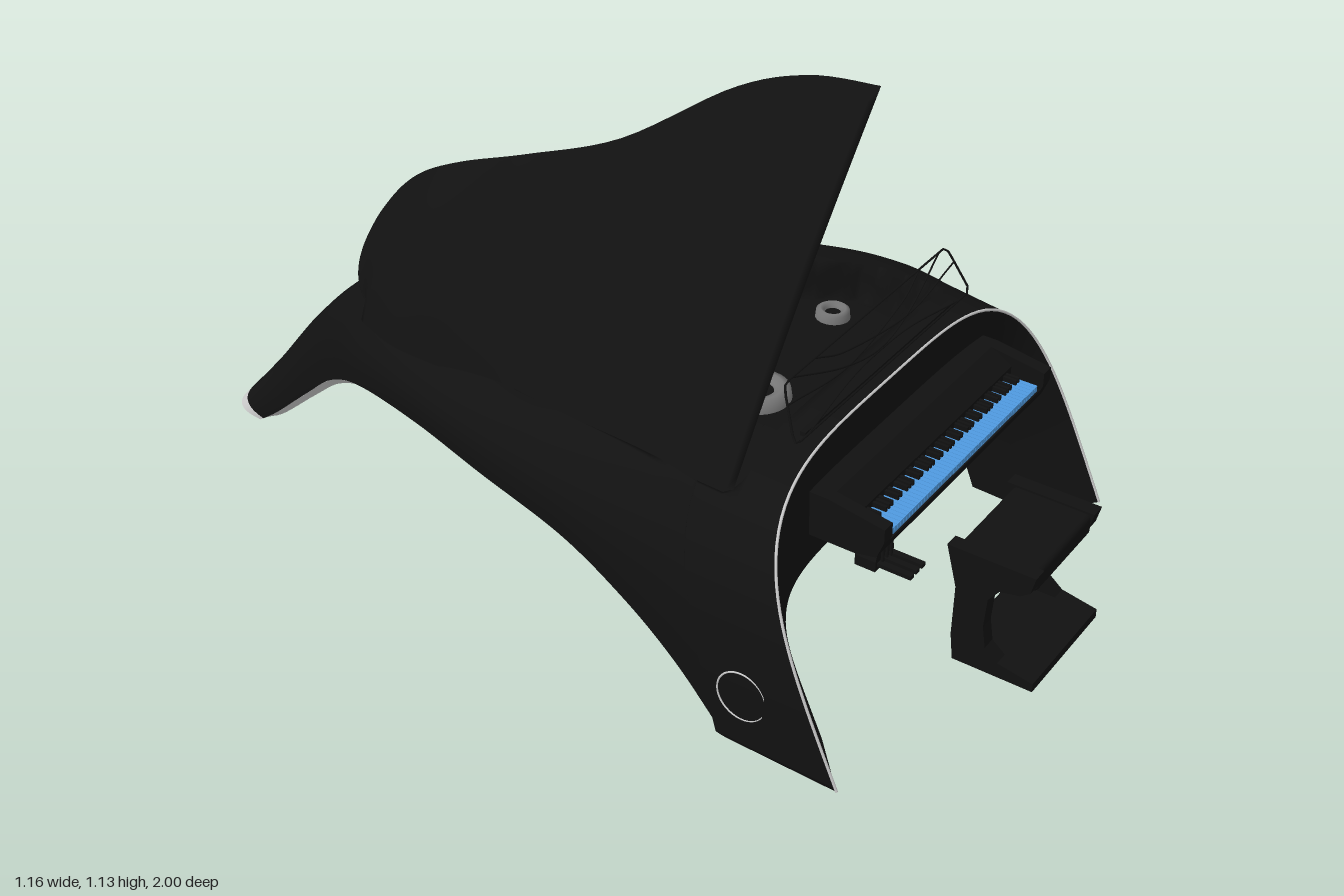
import * as THREE from 'three';
import { ParametricGeometry } from 'three/addons/geometries/ParametricGeometry.js';
import { RoundedBoxGeometry } from 'three/addons/geometries/RoundedBoxGeometry.js';

const mat = (color) => new THREE.MeshStandardMaterial({ color, side: THREE.DoubleSide });
const black = mat(0x111111), grey = mat(0xcccccc), steel = mat(0x777777), blue = mat(0x4f9ae0);

// Body stations from front to tail: zTop, zEdge, yEdge, yTop, xLow, xHigh, squareness
const OUTER = [
  [0.59, 0.83, 0, 0.54, -0.578, 0.535, 4],
  [0.42, 0.575, 0, 0.54, -0.572, 0.572, 4],
  [0.4, 0.55, 0.025, 0.54, -0.57, 0.574, 4],
  [0.32, 0.45, 0.125, 0.54, -0.565, 0.574, 3.8],
  [0.2, 0.33, 0.215, 0.54, -0.56, 0.55, 3.5],
  [0.05, 0.17, 0.295, 0.535, -0.55, 0.48, 3.2],
  [-0.12, -0.05, 0.345, 0.53, -0.53, 0.345, 3],
  [-0.3, -0.25, 0.36, 0.515, -0.485, 0.215, 2.8],
  [-0.48, -0.47, 0.325, 0.49, -0.41, 0.08, 2.6],
  [-0.62, -0.62, 0.245, 0.44, -0.34, -0.03, 2.5],
  [-0.75, -0.73, 0.15, 0.315, -0.305, -0.085, 2.4],
  [-0.88, -0.84, 0.05, 0.15, -0.298, -0.1, 2.4],
  [-1.0, -0.9, 0.004, 0.01, -0.295, -0.1, 2.8],
];
const LAST = OUTER.length - 1;
// Lining: crown height, wall thickness, how far the rim dips inwards
const LINING = [
  [0.43, 0.05, 0], [0.43, 0.05, 0], [0.43, 0.05, 0], [0.43, 0.05, 0.01], [0.43, 0.05, 0.02], [0.425, 0.05, 0.03],
  [0.42, 0.045, 0.035], [0.41, 0.04, 0.035], [0.375, 0.035, 0.03], [0.31, 0.03, 0.025], [0.2, 0.025, 0.02],
  [0.09, 0.02, 0.015], [0.008, 0.015, 0]];
const INNER = OUTER.map(([zt, ze, ye, , xl, xr, n], i) => {
  const [top, wall, dip] = LINING[i];
  return [i === LAST ? -0.97 : zt, ze, ye - dip, top, xl + wall, xr - wall, n];
});
// Front frame opening, front and back loops
const FRAME = [[0.6, 0.73, 0, 0.285, -0.468, 0.417, 6], [0.46, 0.575, 0, 0.285, -0.468, 0.425, 6]];

const columns = (rows) => rows[0].map((_, c) =>
  new THREE.SplineCurve(rows.map((r, i) => new THREE.Vector2(i, r[c]))));
const outerCols = columns(OUTER), innerCols = columns(INNER), frameCols = columns(FRAME);

// Point on a squared arch: u runs front to tail, v from -x edge to +x edge
function arch(cols, u, v, p) {
  const [zt, ze, ye, yt, xl, xr, n] = cols.map((c) => c.getPoint(u).y);
  const a = Math.PI * (1 - v), c = Math.cos(a), s = Math.max(0, Math.sin(a));
  const r = Math.pow(Math.pow(Math.abs(c), n) + Math.pow(s, n), -1 / n);
  return p.set((xl + xr) / 2 + (xr - xl) / 2 * c * r, Math.max(0, ye + (yt - ye) * s * r), ze + (zt - ze) * s * r);
}

// Piecewise lookup of x by z in [z, x] pairs, falling z
function lookup(table, z) {
  let i = 0;
  while (i < table.length - 2 && z < table[i + 1][0]) i++;
  const [a, b] = [table[i], table[i + 1]];
  return THREE.MathUtils.lerp(a[1], b[1], THREE.MathUtils.clamp((a[0] - z) / (a[0] - b[0]), 0, 1));
}
const OPEN_L = [[0.5, -0.455], [0, -0.43], [-0.3, -0.4], [-0.47, -0.35], [-0.545, -0.24]];
const OPEN_R = [[0.5, 0.39], [0.3, 0.355], [0.2, 0.27], [0.06, 0.15], [-0.1, 0.06], [-0.25, 0], [-0.5, -0.05], [-0.545, -0.12]];

// Outer skin with the sunken soundboard well
function skin(u, v, p) {
  arch(outerCols, u, v, p);
  const d = Math.min(p.x - lookup(OPEN_L, p.z), lookup(OPEN_R, p.z) - p.x, 0.5 - p.z, p.z + 0.545);
  if (p.y > 0.38) p.y -= 0.09 * THREE.MathUtils.smoothstep(d, 0, 0.02);
  return p;
}

export function createModel() {
  const root = new THREE.Group();
  const add = (name, geo, material = black, parent = root) => {
    const m = new THREE.Mesh(geo, material);
    m.name = name;
    parent.add(m);
    return m;
  };
  const group = (name) => {
    const g = new THREE.Group();
    g.name = name;
    root.add(g);
    return g;
  };
  const surface = (name, f, nu, nv, material) => add(name, new ParametricGeometry(f, nu, nv), material);
  const box = (name, w, h, d, x, y, z, material, parent) =>
    add(name, new THREE.BoxGeometry(w, h, d).translate(x, y, z), material, parent);
  // Side profile of [z, y] points extruded across x
  const slab = (name, pts, x, w, parent) => {
    const shape = new THREE.Shape(pts.map(([z, y]) => new THREE.Vector2(z, y)));
    const geo = new THREE.ExtrudeGeometry(shape, { depth: w, bevelEnabled: false });
    return add(name, geo.rotateY(-Math.PI / 2).translate(x + w / 2, 0, 0), black, parent);
  };
  const wire = (name, pts, r, material, parent, closed = false, tension = 0.5) => add(name, new THREE.TubeGeometry(
    new THREE.CatmullRomCurve3(pts, closed, 'catmullrom', tension), 80, r, 6, closed), material, parent);

  // Body shell, front frame, lining and the faces that join them
  const FOOT = 0.978, KNEE = 1 / LAST, q = new THREE.Vector3();
  const join = (a, ua, b, ub, v, w, p) => p.copy(arch(a, ua, v, p)).lerp(arch(b, ub, v, q), w);
  surface('bodyShell', (u, v, p) => skin(u * FOOT, v, p), 130, 200, black);
  surface('tailFoot', (u, v, p) => skin(FOOT + u * (1 - FOOT), v, p), 6, 60, grey);
  surface('underside', (u, v, p) => arch(innerCols, KNEE + u * (1 - KNEE), v, p), 60, 60, grey);
  surface('frontFace', (w, v, p) => join(outerCols, 0, frameCols, 0, v, w, p), 4, 100, black);
  surface('frameOpening', (u, v, p) => arch(frameCols, u, v, p), 4, 100, black);
  surface('frameBack', (w, v, p) => join(frameCols, 1, innerCols, KNEE, v, w, p), 2, 100, black);
  surface('tailCap', (w, v, p) => join(outerCols, 1, innerCols, 1, v, w, p), 2, 40, grey);
  for (const v of [0, 1]) {
    surface('legSole', (u, w, p) => join(outerCols, u * KNEE, frameCols, u, v, w, p), 8, 2, black);
    surface('lowerRim', (u, w, p) => {
      const t = KNEE + u * (1 - KNEE);
      return join(outerCols, t, innerCols, t, v, w, p);
    }, 60, 2, grey);
  }
  const edge = Array.from({ length: 61 }, (_, i) => arch(outerCols, 0, i / 60, new THREE.Vector3()));
  wire('frontTrim', edge, 0.003, grey, root);
  add('sideDisc', new THREE.TorusGeometry(0.055, 0.002, 6, 40).rotateY(Math.PI / 2).translate(-0.573, 0.12, 0.61), grey);

  // Raised lid: z, hinge x, top y; its rear lower corner is rounded
  const lidCols = columns([
    [0.5, -0.43, 1.13], [0.35, -0.43, 1.115], [0.2, -0.425, 1.06], [0, -0.425, 0.93], [-0.2, -0.42, 0.855],
    [-0.35, -0.415, 0.805], [-0.46, -0.38, 0.745], [-0.525, -0.35, 0.67], [-0.54, -0.34, 0.6], [-0.47, -0.33, 0.49]]);
  for (const side of [-1, 1]) {
    surface(side < 0 ? 'lidOuter' : 'lidInner', (u, v, p) => {
      const [z, hx, top] = lidCols.map((c) => c.getPoint(u).y);
      const y = 0.48 + (top - 0.48) * v;
      const bow = Math.sin(Math.PI * v), t = side * 0.012 * bow * Math.pow(Math.max(0, Math.sin(Math.PI * u)), 0.3);
      const tuck = Math.max(0, -0.47 - z) * (1 - v) ** 2;
      p.set(hx + (y - 0.5) * 0.746 - 0.016 * bow + t * 0.8, y - t * 0.6, z + tuck);
    }, 60, 24, black);
  }

  // Rings set into the well
  for (const [x, y, z, r] of [[-0.1, 0.437, -0.22, 0.052], [-0.025, 0.447, -0.03, 0.041],
    [0.09, 0.452, 0.155, 0.052], [0.237, 0.452, 0.305, 0.038], [-0.11, 0.457, 0.34, 0.07]]) {
    const ring = group('wellRing');
    ring.position.set(x, y, z);
    const profile = [[0.45, 0], [0.5, 0.012], [0.72, 0.018], [0.95, 0.012], [1, -0.01]];
    add('ringRim', new THREE.LatheGeometry(profile.map(([a, b]) => new THREE.Vector2(a * r, b)), 36), steel, ring);
    add('ringCentre', new THREE.CylinderGeometry(r * 0.46, r * 0.46, 0.01, 24), black, ring);
  }

  // Keyboard
  const kb = group('keyboard');
  kb.position.x = 0.01;
  const cheek = [[0.58, 0.35], [0.7, 0.35], [0.75, 0.36], [0.765, 0.4], [0.765, 0.43], [0.64, 0.45], [0.58, 0.45]];
  for (const s of [-1, 1]) slab('keyCheek', cheek, s * 0.325, 0.03, kb);
  slab('keyBed', [[0.46, 0.35], [0.7, 0.35], [0.75, 0.36], [0.76, 0.388], [0.46, 0.388]], 0, 0.63, kb);
  slab('fallboard', [[0.57, 0.38], [0.69, 0.38], [0.69, 0.42], [0.64, 0.45], [0.57, 0.45]], 0, 0.63, kb);
  const pitch = 0.6 / 52;
  for (let i = 0; i < 52; i++) {
    const x = -0.3 + (i + 0.5) * pitch;
    box('key', pitch * 0.9, 0.014, 0.07, x, 0.396, 0.722, blue, kb);
    if (![2, 6].includes(i % 7) && i < 51) box('sharpKey', pitch * 0.5, 0.012, 0.03, x + pitch / 2, 0.408, 0.705, black, kb);
  }

  // Wire music stand leaning back
  const stand = group('musicStand');
  const at = ([x, y]) => new THREE.Vector3(x, y, 0.57 - (y - 0.55) * 0.45);
  const half = [[0.33, 0.551], [0.337, 0.554], [0.34, 0.562], [0.316, 0.643], [0.31, 0.652], [0.3, 0.656]];
  const frame = [...half, ...half.map(([x, y]) => [-x, y]).reverse()];
  wire('standFrame', frame.map(at), 0.0025, black, stand, true, 0.05);
  wire('standSag', [[-0.28, 0.655], [-0.13, 0.605], [0, 0.585], [0.13, 0.605], [0.28, 0.655]].map(at), 0.002, black, stand);
  wire('standArch', [[-0.29, 0.552], [-0.12, 0.577], [0, 0.582], [0.12, 0.577], [0.29, 0.552]].map(at), 0.002, black, stand);
  for (const s of [-1, 1]) wire('standBrace', [[s * 0.32, 0.62], [s * 0.12, 0.6], [-s * 0.1, 0.625], [-s * 0.2, 0.655]].map(at), 0.002, black, stand);
  box('standRail', 0.58, 0.01, 0.012, 0, 0.543, 0.555, black, stand);

  // Pedal lyre
  const lyre = group('pedalLyre');
  slab('lyreMount', [[0.36, 0.36], [0.58, 0.36], [0.58, 0.215], [0.52, 0.215]], 0.025, 0.11, lyre);
  const lyreSide = [[0.045, 0.23], [0.04, 0.19], [0.028, 0.1], [0.038, 0.07], [0.038, 0.045]];
  const outline = [...lyreSide, ...lyreSide.map(([x, y]) => [-x, y]).reverse()];
  const lyreShape = new THREE.Shape(outline.map(([x, y]) => new THREE.Vector2(x + 0.023, y)));
  add('lyreColumn', new THREE.ExtrudeGeometry(lyreShape, { depth: 0.05, bevelEnabled: false }).translate(0, 0, 0.53), black, lyre);
  for (const k of [-1, 0, 1]) {
    box('pedal', 0.014, 0.01, 0.08, 0.023 + k * 0.024, 0.06, 0.62, black, lyre);
    add('pedalRod', new THREE.CylinderGeometry(0.004, 0.004, 0.17, 8).translate(0.023 + k * 0.018, 0.14, 0.585), black, lyre);
  }

  // Bench
  const bench = group('bench');
  const sidePts = [[0.985, 0.275], [0.975, 0.235], [0.955, 0.22], [0.91, 0.21], [0.887, 0.18], [0.882, 0.11], [0.89, 0.06],
    [0.92, 0.035], [1, 0.02], [1, 0], [0.82, 0], [0.813, 0.06], [0.815, 0.18], [0.79, 0.275]];
  for (const x of [-0.0985, 0.1535]) slab('benchSide', sidePts, x, 0.033, bench);
  add('benchSeat', new RoundedBoxGeometry(0.24, 0.05, 0.175, 3, 0.012).translate(0.0275, 0.245, 0.89), black, bench);
  slab('benchBase', [[0.82, 0], [1, 0], [1, 0.02], [0.92, 0.035], [0.82, 0.035]], 0.0275, 0.23, bench);
  return root;
}
